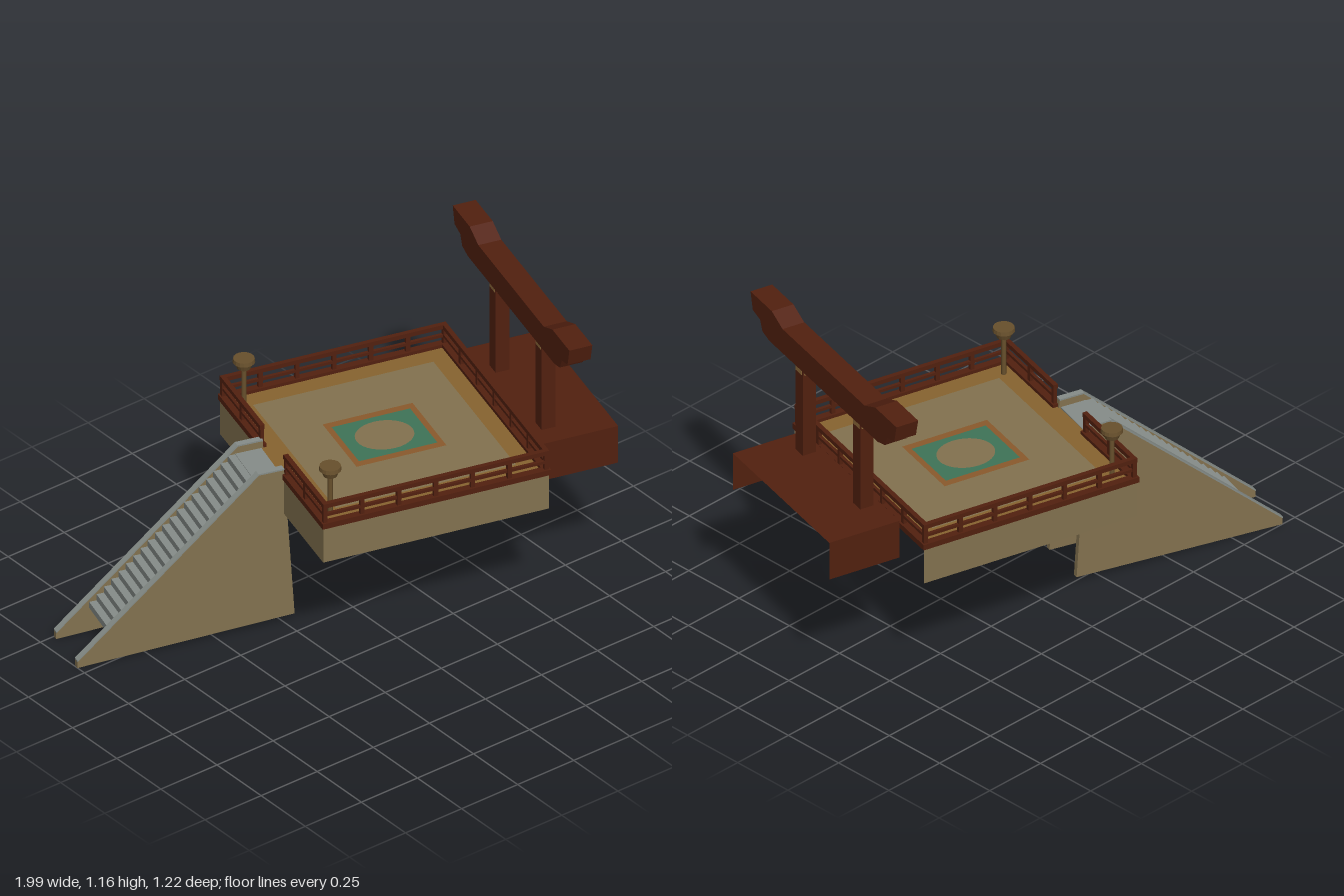
import * as THREE from 'three';

const mat = (name, color, side = THREE.FrontSide) => {
  const m = new THREE.MeshStandardMaterial({ color, side });
  m.name = name;
  return m;
};

export function createModel() {
  const wood = mat('red brown wood', 0x52200f);
  const stone = mat('tan stone', 0x83724f, THREE.DoubleSide);
  const border = mat('brown border', 0x87632f, THREE.DoubleSide);
  const orange = mat('orange trim', 0x8a5a2c, THREE.DoubleSide);
  const green = mat('green inlay', 0x3f7458, THREE.DoubleSide);
  const grey = mat('grey steps', 0x868d89);
  const gold = mat('gold collar', 0x8f6a3a);
  const bronze = mat('bronze lamp', 0x68502c, THREE.DoubleSide);
  const woodSheet = mat('red brown panel', 0x52200f, THREE.DoubleSide);

  const model = new THREE.Group();
  const group = (name, parent, x = 0, y = 0, z = 0) => {
    const g = new THREE.Group();
    g.name = name;
    g.position.set(x, y, z);
    parent.add(g);
    return g;
  };
  const add = (parent, name, geo, material, x = 0, y = 0, z = 0) => {
    const m = new THREE.Mesh(geo, material);
    m.name = name;
    m.position.set(x, y, z);
    parent.add(m);
    return m;
  };
  const box = (parent, name, material, w, h, d, x, y, z) =>
    add(parent, name, new THREE.BoxGeometry(w, h, d), material, x, y, z);
  const shapeOf = pts => new THREE.Shape(pts.map(p => new THREE.Vector2(...p)));
  // upright open sheet, turned about y
  const sheet = (parent, name, material, w, h, x, y, z, turn = 0) => {
    add(parent, name, new THREE.PlaneGeometry(w, h), material, x, y, z).rotation.y = turn;
  };

  const terrace = group('terrace', model, 0.191, 0, -0.064);
  terrace.rotation.y = -14.5 * Math.PI / 180;
  const HU = 0.437, HV = 0.457;

  // Base walls, open towards the gate
  const base = group('baseWalls', terrace);
  for (const s of [-1, 1]) sheet(base, 'sideWall', stone, 0.864, 0.15, 0, 0.533, s * 0.45);
  sheet(base, 'stairWall', stone, 0.9, 0.15, -0.432, 0.533, 0, Math.PI / 2);

  // Flat floor made of nested rings around a medallion
  const rect = (a, b) => [[-a, -b], [a, -b], [a, b], [-a, b]];
  const oval = (a, b) => new THREE.EllipseCurve(0, 0, a, b).getPoints(32).slice(0, -1).map(p => [p.x, p.y]);
  const floor = (name, material, outer, inner) => {
    const s = shapeOf(outer);
    if (inner) s.holes.push(new THREE.Path(inner.map(p => new THREE.Vector2(...p))));
    const g = new THREE.ShapeGeometry(s);
    g.rotateX(-Math.PI / 2);
    add(terrace, name, g, material, 0, 0.61, 0);
  };
  floor('floorBorder', border, rect(0.432, 0.45), rect(0.345, 0.36));
  floor('floorField', stone, rect(0.345, 0.36), rect(0.172, 0.148));
  floor('medallionTrim', orange, rect(0.172, 0.148), rect(0.15, 0.119));
  floor('medallionGreen', green, rect(0.15, 0.119), oval(0.107, 0.092));
  floor('medallionCentre', stone, oval(0.107, 0.092));

  // Railing: curb, two rails and posts per run; the stair side has a gap
  const railing = group('railing', terrace);
  const run = (x0, z0, x1, z1, posts) => {
    const len = Math.hypot(x1 - x0, z1 - z0);
    const r = group('railRun', railing, (x0 + x1) / 2, 0, (z0 + z1) / 2);
    r.rotation.y = -Math.atan2(z1 - z0, x1 - x0);
    box(r, 'curb', wood, len + 0.028, 0.022, 0.028, 0, 0.612, 0);
    box(r, 'midRail', wood, len, 0.011, 0.012, 0, 0.653, 0);
    box(r, 'topRail', wood, len + 0.018, 0.017, 0.018, 0, 0.692, 0);
    for (let i = 0; i <= posts; i++)
      box(r, 'railPost', wood, 0.016, 0.09, 0.014, -len / 2 + len * i / posts, 0.645, 0);
  };
  const ru = HU - 0.014, rv = HV - 0.014;
  run(-ru, -rv, ru, -rv, 6);
  run(-ru, rv, ru, rv, 6);
  run(ru, -rv, ru, rv, 6);
  run(-ru, -rv, -ru, -0.11, 2);
  run(-ru, 0.11, -ru, rv, 2);

  // Lamps at the two stair-side corners
  const bowl = [[0, 0.765], [0.025, 0.765], [0.033, 0.788], [0.04, 0.79], [0.038, 0.805], [0, 0.805]];
  for (const s of [-1, 1]) {
    const lamp = group('lamp', terrace, -0.373, 0, s * 0.376);
    add(lamp, 'lampPole', new THREE.CylinderGeometry(0.009, 0.009, 0.16, 10), bronze, 0, 0.69, 0);
    const profile = bowl.map(p => new THREE.Vector2(...p));
    add(lamp, 'lampBowl', new THREE.LatheGeometry(profile, 16).toNonIndexed(), bronze)
      .geometry.computeVertexNormals();
  }

  // Hollow plinth below the gate: top, inner wall and two ends
  const plinth = group('gatePlinth', terrace, 0.6, 0, 0.01);
  const top = add(plinth, 'plinthTop', new THREE.PlaneGeometry(0.285, 0.67), woodSheet, 0, 0.658, 0);
  top.rotation.x = -Math.PI / 2;
  for (const s of [-1, 1]) sheet(plinth, 'plinthEnd', woodSheet, 0.285, 0.153, 0, 0.582, s * 0.335);
  sheet(plinth, 'plinthWall', woodSheet, 0.67, 0.153, -0.1425, 0.582, 0, Math.PI / 2);

  // Gate: posts with inlaid collars and an upswept beam
  const gate = group('gate', terrace, 0.513, 0, 0.034);
  for (const s of [-1, 1]) {
    box(gate, 'gatePost', wood, 0.053, 0.5, 0.053, 0, 0.79, s * 0.2);
    for (const [y, h] of [[0.569, 0.054], [1.012, 0.04]]) {
      box(gate, 'collar', gold, 0.057, h, 0.042, 0, y, s * 0.2);
      box(gate, 'collar', gold, 0.042, h, 0.057, 0, y, s * 0.2);
    }
  }
  const half = [[0.376, 1.03], [0.425, 1.043], [0.442, 1.083], [0.492, 1.095],
    [0.508, 1.163], [0.36, 1.163], [0.285, 1.13]];
  const outline = [...half, ...half.map(([x, y]) => [-x, y]).reverse()];
  const beam = new THREE.ExtrudeGeometry(shapeOf(outline), { depth: 0.088, bevelEnabled: false });
  beam.translate(0, 0, -0.044);
  beam.rotateY(-Math.PI / 2);
  add(gate, 'gateBeam', beam, wood);

  // Stairs: two tall side walls with grey caps, steps between
  const stairs = group('stairs', model, -0.97, 0, -0.395);
  stairs.rotation.y = -16.4 * Math.PI / 180;
  const wallPts = [[0, 0], [0.82, 0.03], [0.78, 0.64], [0.685, 0.64], [0, 0.025]];
  const capPts = [[0, 0.025], [0.685, 0.64], [0.78, 0.64], [0.78, 0.646], [0.683, 0.646], [0, 0.031]];
  const slab = (pts, w) => {
    const g = new THREE.ExtrudeGeometry(shapeOf(pts), { depth: w, bevelEnabled: false });
    return g.translate(0, 0, -w / 2);
  };
  for (const s of [-1, 1]) {
    add(stairs, 'stairSideWall', slab(wallPts, 0.02), stone, 0, 0, s * 0.1);
    add(stairs, 'stairCap', slab(capPts, 0.024), grey, 0, 0, s * 0.1);
  }
  const N = 20, rise = 0.0255, tread = 0.0275;
  for (let i = 0; i < N; i++)
    box(stairs, 'step', grey, tread, rise, 0.18, 0.125 + (i + 0.5) * tread, 0.1 + (i + 0.5) * rise, 0);
  box(stairs, 'landing', grey, 0.1, 0.012, 0.18, 0.725, 0.606, 0);

  return model;
}
